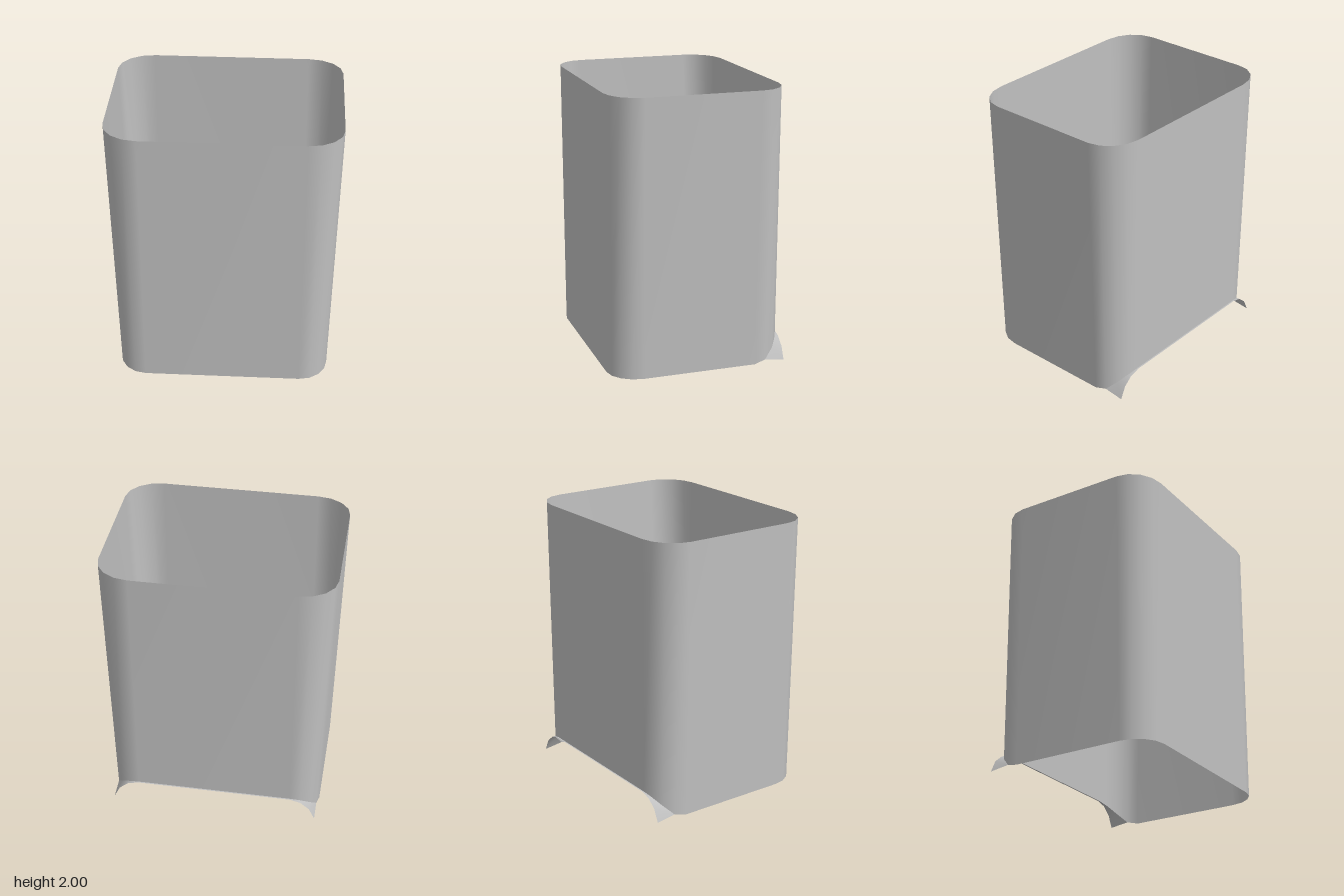
import * as THREE from 'three';

const HEIGHT = 2;
const CORNER_STEPS = 4;
const CX = 0.57;                       // where the rounded corners begin
const FRONT_CZ = 0.42, BACK_CZ = -0.41;
const RZ = 0.22, RX_BOTTOM = 0.205, RX_TOP = 0.25;
const ARCH_Y = [0, 0.02, 0.09, 0.145, 0.165]; // raised lower edge round a back corner
const LIP_Z = -0.64;

// One corner point; k runs from the side (0) to the front or back (CORNER_STEPS)
function cornerPoint(side, end, k, y) {
  const a = (k / CORNER_STEPS) * Math.PI / 2;
  const rx = THREE.MathUtils.lerp(RX_BOTTOM, RX_TOP, y / HEIGHT);
  const cz = end > 0 ? FRONT_CZ : BACK_CZ;
  return [side * (CX + rx * Math.cos(a)), y, cz + end * RZ * Math.sin(a)];
}

// Joins two rows of points with quads and smooth normals
function strip(lower, upper, closed) {
  const n = lower.length, index = [];
  for (let i = 0; i < (closed ? n : n - 1); i++) {
    const j = (i + 1) % n;
    index.push(i, j, n + j, i, n + j, n + i);
  }
  const geometry = new THREE.BufferGeometry();
  geometry.setAttribute('position', new THREE.Float32BufferAttribute([...lower, ...upper].flat(), 3));
  geometry.setIndex(index);
  geometry.computeVertexNormals();
  return geometry;
}

export function createModel() {
  const group = new THREE.Group();
  group.name = 'openSleeve';
  const grey = new THREE.MeshStandardMaterial({ color: 0xc0c0c0, side: THREE.DoubleSide });
  grey.name = 'plainGrey';

  // Walls: an open tapered tube, arched at the back of its lower edge
  const lower = [], upper = [];
  const corners = [[1, 1], [1, -1], [-1, -1], [-1, 1]];
  for (const [side, end] of corners) {
    for (let i = 0; i <= CORNER_STEPS; i++) {
      const k = side * end > 0 ? CORNER_STEPS - i : i;
      lower.push(cornerPoint(side, end, k, end < 0 ? ARCH_Y[k] : 0));
      upper.push(cornerPoint(side, end, k, HEIGHT));
    }
  }
  const walls = new THREE.Mesh(strip(lower, upper, true), grey);
  walls.name = 'walls';
  group.add(walls);

  // Arched lip carried straight back from the raised edge
  const inner = [], outer = [];
  for (const side of [1, -1]) {
    for (let i = 1; i <= CORNER_STEPS; i++) {
      const k = side > 0 ? i : CORNER_STEPS + 1 - i;
      const [x, y, z] = cornerPoint(side, -1, k, ARCH_Y[k]);
      inner.push([x, y, z]);
      outer.push([x, k === 1 ? 0 : y, LIP_Z]);
    }
  }
  const lip = new THREE.Mesh(strip(outer, inner, false), grey);
  lip.name = 'backLip';
  group.add(lip);

  return group;
}
